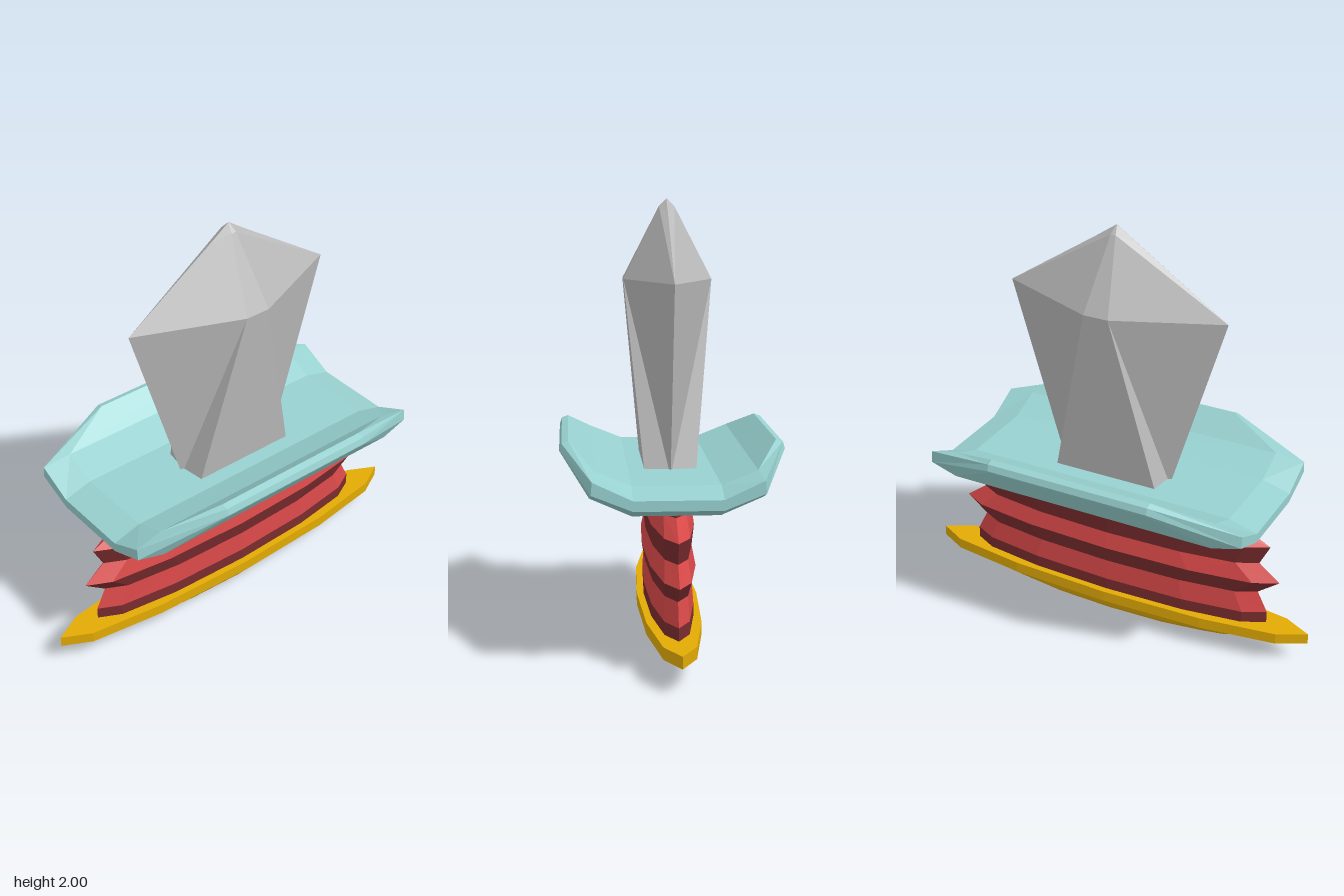
import * as THREE from 'three';

// Joins closed rings of [x, y, z] points into a faceted solid with capped ends
function loft(rings) {
  const n = rings[0].length;
  const out = [];
  const tri = (...pts) => pts.forEach((p) => out.push(...p));
  const centre = (ring) => [0, 1, 2].map((k) => ring.reduce((s, p) => s + p[k], 0) / n);
  for (let i = 0; i < rings.length - 1; i++) {
    for (let j = 0; j < n; j++) {
      const k = (j + 1) % n;
      const a = rings[i][j], b = rings[i][k], c = rings[i + 1][k], d = rings[i + 1][j];
      // Diagonals mirror each other around the ring
      if (j % 3 === 2) { tri(a, b, d); tri(b, c, d); }
      else { tri(a, b, c); tri(a, c, d); }
    }
  }
  const first = rings[0], last = rings[rings.length - 1];
  const c0 = centre(first), c1 = centre(last);
  for (let j = 0; j < n; j++) {
    const k = (j + 1) % n;
    tri(c0, first[k], first[j]);
    tri(c1, last[j], last[k]);
  }
  const g = new THREE.BufferGeometry();
  g.setAttribute('position', new THREE.Float32BufferAttribute(out, 3));
  g.computeVertexNormals();
  return g;
}

// Twelve-sided oval ring, pointed at the front and back
function oval(y, rx, rz) {
  return Array.from({ length: 12 }, (_, i) => {
    const a = (i * Math.PI) / 6;
    return [rx * Math.sin(a), y, rz * Math.cos(a)];
  });
}

// Six-sided blade ring: edge points front and back, two corners on each side
function bladeRing(sideY, x, sideZ, edgeY, edgeZ) {
  return [
    [0, edgeY, edgeZ], [x, sideY, sideZ], [x, sideY, -sideZ],
    [0, edgeY, -edgeZ], [-x, sideY, -sideZ], [-x, sideY, sideZ],
  ];
}

// Guard section across x; rows run from the top face over the rim to the underside
function guardRing(rows, side) {
  const front = rows.map(([x, y, z]) => [x * side, y, z]);
  const back = rows.map(([x, y, z]) => [x * side, y, -z]).reverse();
  return [...front, ...back];
}

export function createModel() {
  const model = new THREE.Group();
  const material = (name, color) => {
    const m = new THREE.MeshStandardMaterial({ color });
    m.name = name;
    m.flatShading = true;
    return m;
  };
  const steel = material('steel grey', 0xbababa);
  const teal = material('pale teal', 0x97d0cf);
  const red = material('grip red', 0xd84848);
  const darkRed = material('dark grip red', 0x7a2c2e);
  const gold = material('gold', 0xe2aa04);

  const add = (name, rings, mat, parent = model) => {
    const mesh = new THREE.Mesh(loft(rings), mat);
    mesh.name = name;
    parent.add(mesh);
  };

  // Blade: narrow root, wide shoulder, short blunted point
  add('blade', [
    bladeRing(0.77, 0.114, 0.262, 0.77, 0.277),
    bladeRing(1.64, 0.2, 0.06, 1.64, 0.54),
    bladeRing(1.965, 0.035, 0.012, 1.93, 0.104),
    bladeRing(2.0, 0.002, 0.002, 2.0, 0.003),
  ], steel);

  // Guard: upswept bevelled plate, mirrored about the middle
  const tip = [[0.455, 0.955, 0.4], [0.485, 0.945, 0.4], [0.495, 0.915, 0.4], [0.49, 0.905, 0.4]];
  const guardRows = [
    tip.map(([x, y]) => [x, y, 0]), // closes the end face
    tip,
    [[0.345, 0.865, 0.66], [0.36, 0.845, 0.795], [0.365, 0.79, 0.795], [0.37, 0.752, 0.66]],
    [[0.19, 0.803, 0.66], [0.19, 0.765, 0.795], [0.19, 0.72, 0.795], [0.19, 0.667, 0.63]],
  ];
  add('guard', [
    ...guardRows.map((rows) => guardRing(rows, -1)),
    ...[...guardRows].reverse().map((rows) => guardRing(rows, 1)),
  ], teal);

  // Grip: ribbed oval handle wrapped in alternating dark and light bands
  const grip = new THREE.Group();
  grip.name = 'grip';
  model.add(grip);
  const ribs = [
    [0.15, 0.108, 0.79], [0.22, 0.108, 0.79], [0.32, 0.1, 0.74], [0.4, 0.116, 0.845],
    [0.48, 0.1, 0.74], [0.58, 0.11, 0.79], [0.657, 0.1, 0.635], [0.685, 0.098, 0.62],
  ].map((p) => oval(...p));
  for (let i = 0; i < ribs.length - 1; i++) {
    add('gripBand', [ribs[i], ribs[i + 1]], i % 2 ? red : darkRed, grip);
  }

  // Collar: flat gold plate under the grip
  add('collar', [oval(0.11, 0.14, 1), oval(0.163, 0.14, 1)], gold);

  // Pommel: shallow rounded underside
  const pommel = [];
  for (let i = 0; i <= 6; i++) {
    const a = (Math.max(i, 0.05) / 6) * (Math.PI / 2);
    pommel.push(oval(0.112 * (1 - Math.cos(a)), 0.11 * Math.sin(a), 0.79 * Math.sin(a)));
  }
  add('pommel', pommel, gold);

  return model;
}
